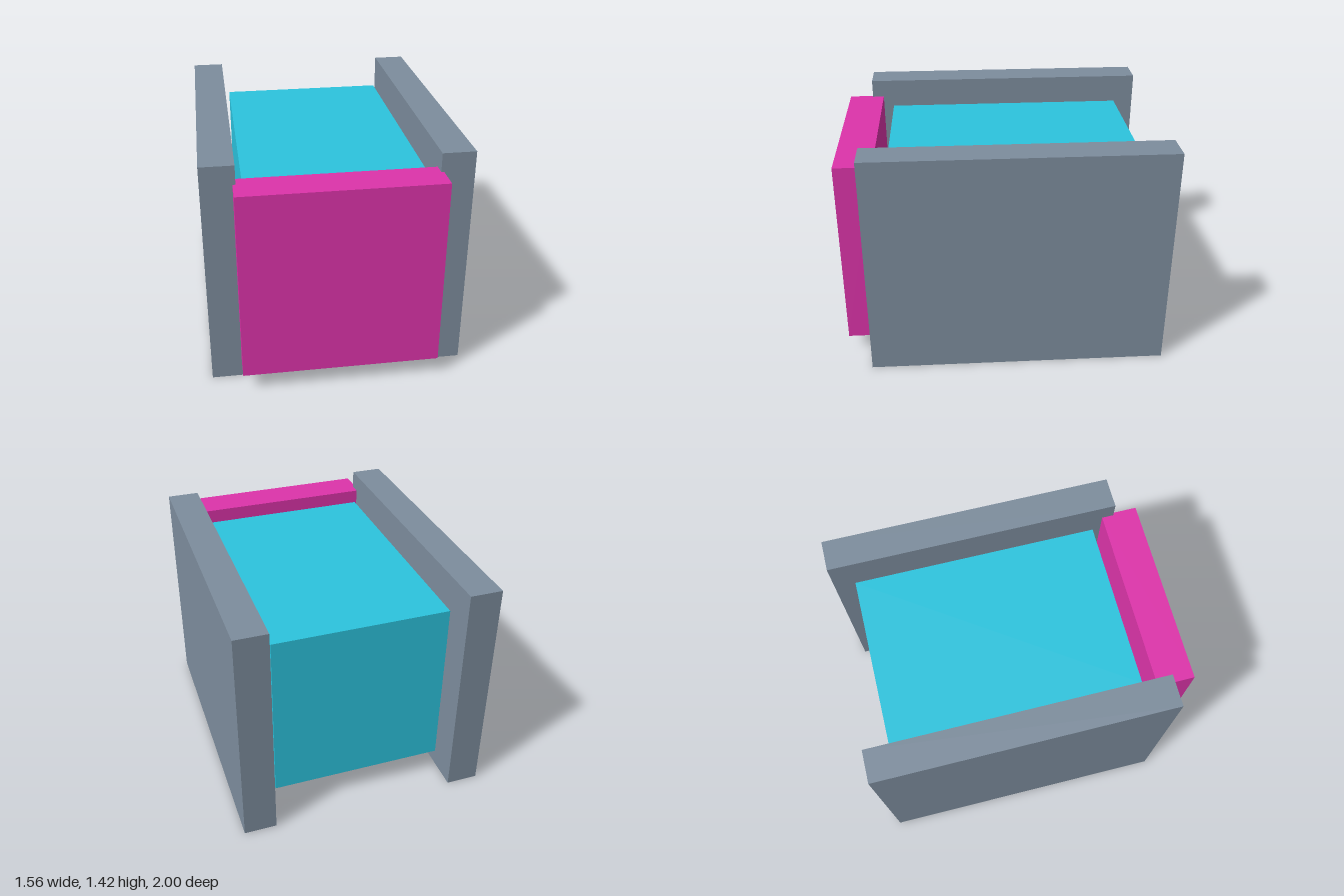
import * as THREE from 'three';

const material = (color) => new THREE.MeshStandardMaterial({ color, flatShading: true });

// Box given by its lower and upper bounds on each axis
function block(name, mat, [x0, x1], [y0, y1], [z0, z1]) {
  const mesh = new THREE.Mesh(new THREE.BoxGeometry(x1 - x0, y1 - y0, z1 - z0), mat);
  mesh.position.set((x0 + x1) / 2, (y0 + y1) / 2, (z0 + z1) / 2);
  mesh.name = name;
  return mesh;
}

export function createModel() {
  const group = new THREE.Group();
  group.name = 'panelledBlock';
  const slate = material(0x7d8d9d);

  // Tall side panels flanking the core
  group.add(block('leftPanel', slate, [0.58, 0.78], [0, 1.42], [-1, 0.845]));
  group.add(block('rightPanel', slate, [-0.78, -0.58], [0, 1.42], [-1, 0.845]));

  // Core block floating between the panels
  group.add(block('core', material(0x2cc4de), [-0.54, 0.54], [0.17, 1.25], [-0.86, 0.7]));

  // Front plate, slightly embedded in the side panels
  group.add(block('frontPlate', material(0xdd34aa), [-0.597, 0.597], [0.115, 1.305], [0.77, 1]));

  return group;
}
